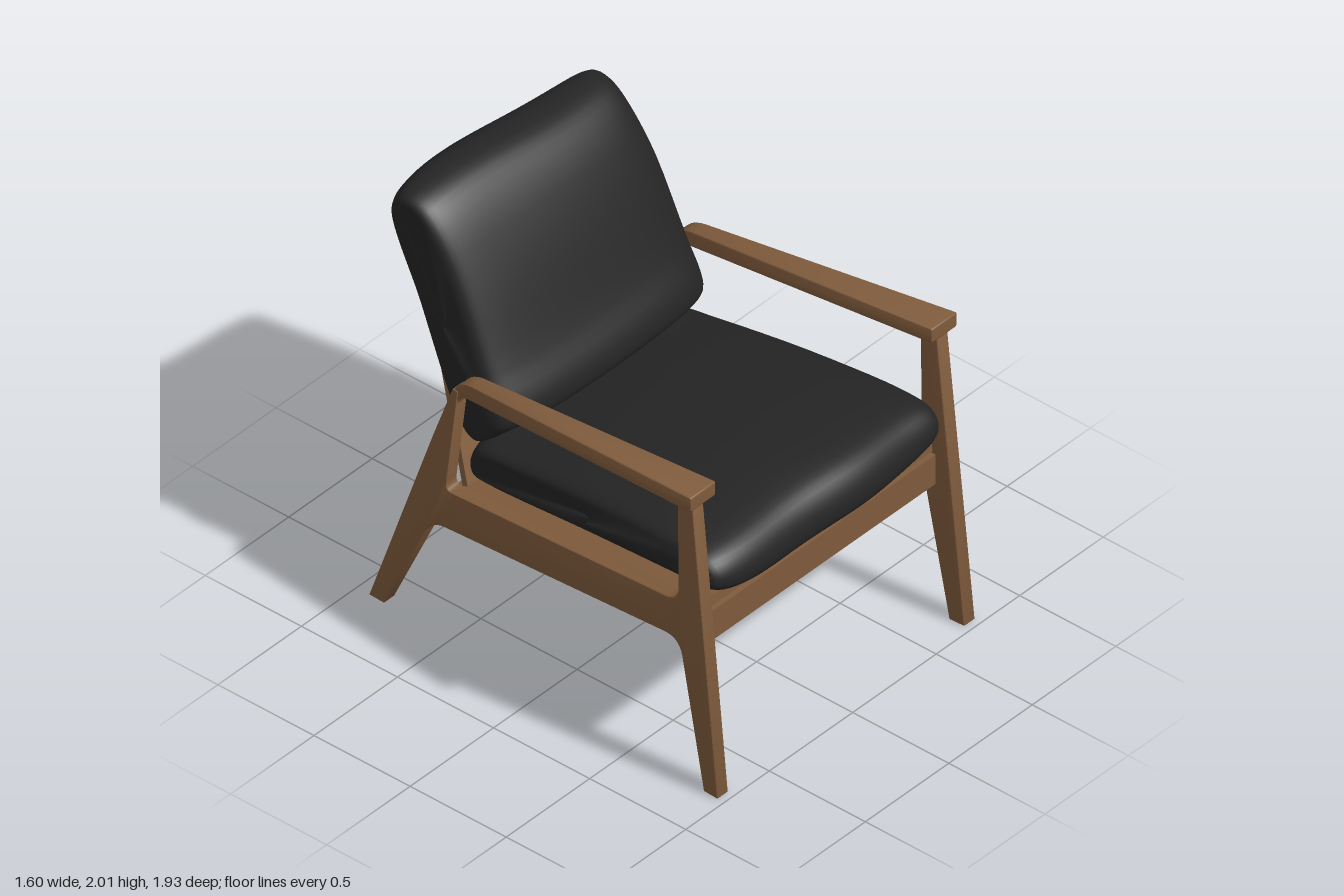
import * as THREE from 'three';
import { toCreasedNormals } from 'three/addons/utils/BufferGeometryUtils.js';

const wood = new THREE.MeshStandardMaterial({ color: 0x7f5b3c });
wood.name = 'walnut wood';
const fabric = new THREE.MeshStandardMaterial({ color: 0x242424 });
fabric.name = 'black fabric';

// Polygon from [z, y, cornerRadius] points with softened corners
function roundedShape(pts) {
  const shape = new THREE.Shape();
  const n = pts.length;
  pts.forEach(([a, b, r = 0.004], i) => {
    const p = new THREE.Vector2(a, b);
    const toward = (q) => new THREE.Vector2(q[0], q[1]).sub(p).setLength(r).add(p);
    const s = toward(pts[(i + n - 1) % n]);
    const e = toward(pts[(i + 1) % n]);
    if (i === 0) shape.moveTo(s.x, s.y);
    else shape.lineTo(s.x, s.y);
    shape.quadraticCurveTo(p.x, p.y, e.x, e.y);
  });
  shape.closePath();
  return shape;
}

// Side profile extruded across x; centre and width follow linear rules in z
function sidePart(name, pts, side, centre, width) {
  const bevel = 0.008;
  const geo = new THREE.ExtrudeGeometry(roundedShape(pts), {
    depth: 1 - 2 * bevel, curveSegments: 7,
    bevelEnabled: true, bevelThickness: bevel * 10, bevelSize: bevel, bevelOffset: -bevel, bevelSegments: 2,
  });
  geo.rotateY(-Math.PI / 2);
  geo.computeBoundingBox();
  const { min, max } = geo.boundingBox;
  const pos = geo.attributes.position;
  for (let i = 0; i < pos.count; i++) {
    const z = pos.getZ(i);
    const t = (pos.getX(i) - min.x) / (max.x - min.x) - 0.5;
    pos.setX(i, side * centre(z) + t * width(z));
  }
  const mesh = new THREE.Mesh(toCreasedNormals(geo, 0.6), wood);
  mesh.name = name;
  return mesh;
}

// Tapered flat board from one [z, y] edge to another
function board(name, from, halfFrom, to, halfTo, depth) {
  const dz = to[0] - from[0], dy = to[1] - from[1];
  const len = Math.hypot(dz, dy);
  const shape = new THREE.Shape([
    new THREE.Vector2(-halfFrom, 0), new THREE.Vector2(halfFrom, 0),
    new THREE.Vector2(halfTo, len), new THREE.Vector2(-halfTo, len),
  ]);
  const mesh = new THREE.Mesh(new THREE.ExtrudeGeometry(shape, { depth, bevelEnabled: false }), wood);
  mesh.name = name;
  mesh.rotation.x = Math.atan2(dz, dy);
  mesh.position.set(0, from[1], from[0]);
  return mesh;
}

// Soft cushion: closed [z, y] section lofted across x, thinning at both ends
function cushion(name, section, axis, halfWidth, warp) {
  const curve = new THREE.CatmullRomCurve3(section.map(([z, y]) => new THREE.Vector3(0, y, z)), true);
  const ring = curve.getPoints(56).slice(0, -1);
  const box = new THREE.Box3().setFromPoints(ring);
  const mid = box.getCenter(new THREE.Vector3());
  const along = new THREE.Vector3(0, axis[1], axis[0]).normalize();
  const stations = 36, n = ring.length;
  const positions = [], index = [];
  for (let i = 0; i <= stations; i++) {
    const phi = (i / stations - 0.5) * Math.PI;
    const c = i === 0 || i === stations ? 0 : Math.cos(phi);
    for (const p of ring) {
      const d = p.clone().sub(mid);
      const l = d.dot(along);
      const q = d.addScaledVector(along, -l).multiplyScalar(c ** 0.32)
        .addScaledVector(along, l * c ** 0.05).add(mid);
      q.x = Math.sin(phi) * halfWidth(l);
      warp(q, l);
      positions.push(q.x, q.y, q.z);
    }
  }
  for (let i = 0; i < stations; i++) {
    for (let j = 0; j < n; j++) {
      const k = (j + 1) % n;
      const a = i * n + j, b = a + n, e = i * n + k, f = e + n;
      index.push(a, b, e, b, f, e);
    }
  }
  const geo = new THREE.BufferGeometry();
  geo.setAttribute('position', new THREE.Float32BufferAttribute(positions, 3));
  geo.setIndex(index);
  geo.computeVertexNormals();
  const mesh = new THREE.Mesh(geo, fabric);
  mesh.name = name;
  return mesh;
}

export function createModel() {
  const chair = new THREE.Group();
  chair.name = 'lounge chair';

  // Legs and side rail in one piece, then the tapering armrest
  const frame = [
    [0.966, 0], [0.828, 1.385], [0.748, 1.375], [0.753, 0.865, 0.07], [-0.518, 0.738, 0.04],
    [-0.45, 1.26], [-0.48, 1.26], [-0.594, 0.955, 0.04], [-0.934, 0], [-0.854, 0],
    [-0.598, 0.543, 0.08], [0.757, 0.685, 0.08], [0.891, 0],
  ];
  const arm = [
    [0.85, 1.374, 0.01], [0.85, 1.445, 0.01], [-0.445, 1.318, 0.075],
    [-0.512, 1.18], [-0.464, 1.18], [-0.44, 1.243, 0.04],
  ];
  const taper = (z) => (z + 0.5) / 1.35;
  for (const [side, label] of [[1, 'left'], [-1, 'right']]) {
    chair.add(sidePart(label + 'SideFrame', frame, side, (z) => 0.688 + 0.053 * z, () => 0.067));
    chair.add(sidePart(label + 'Armrest', arm, side,
      (z) => 0.655 + 0.068 * taper(z), (z) => 0.068 + 0.087 * taper(z)));
  }

  // Front rail, seat board and back board
  const rail = new THREE.Mesh(new THREE.BoxGeometry(1.4, 0.145, 0.05), wood);
  rail.name = 'frontRail';
  rail.position.set(0, 0.712, 0.8);
  chair.add(rail);
  chair.add(board('seatBoard', [-0.54, 0.705], 0.63, [0.805, 0.838], 0.7, 0.045));
  chair.add(board('backBoard', [-0.5, 0.72], 0.61, [-0.912, 1.69], 0.42, 0.028));

  // Seat cushion
  const seat = [
    [0.9, 0.88], [0.915, 0.96], [0.86, 1.06], [0.72, 1.1], [0.24, 1.09], [-0.28, 1.02],
    [-0.46, 0.98], [-0.51, 0.87], [-0.49, 0.77], [-0.4, 0.755], [0.2, 0.815], [0.74, 0.862],
  ];
  chair.add(cushion('seatCushion', seat, [1, 0.105], (l) => 0.66 + 0.045 * l, (q) => {
    q.z += 0.007 * Math.sin(q.x * 9) * (q.z > 0.5 ? 1 : 0.3);
    q.y += 0.004 * Math.sin(q.x * 7 + 1);
  }));

  // Back cushion with a slightly slumped top edge
  const back = [
    [-0.29, 1.04], [-0.23, 1.1], [-0.235, 1.18], [-0.31, 1.33], [-0.47, 1.69], [-0.6, 1.9],
    [-0.71, 1.985], [-0.86, 1.985], [-0.95, 1.88], [-0.94, 1.78], [-0.8, 1.47], [-0.61, 1.06],
    [-0.53, 0.96], [-0.44, 0.935],
  ];
  chair.add(cushion('backCushion', back, [-0.42, 1], (l) => 0.61 - 0.035 * l, (q, l) => {
    const top = THREE.MathUtils.smoothstep(l, 0.1, 0.55);
    q.y -= top * (0.018 * Math.sin(q.x * 4) - 0.004);
    q.z += top * 0.012 * Math.sin(q.x * 5);
    q.x -= top * 0.02;
  }));

  return chair;
}
